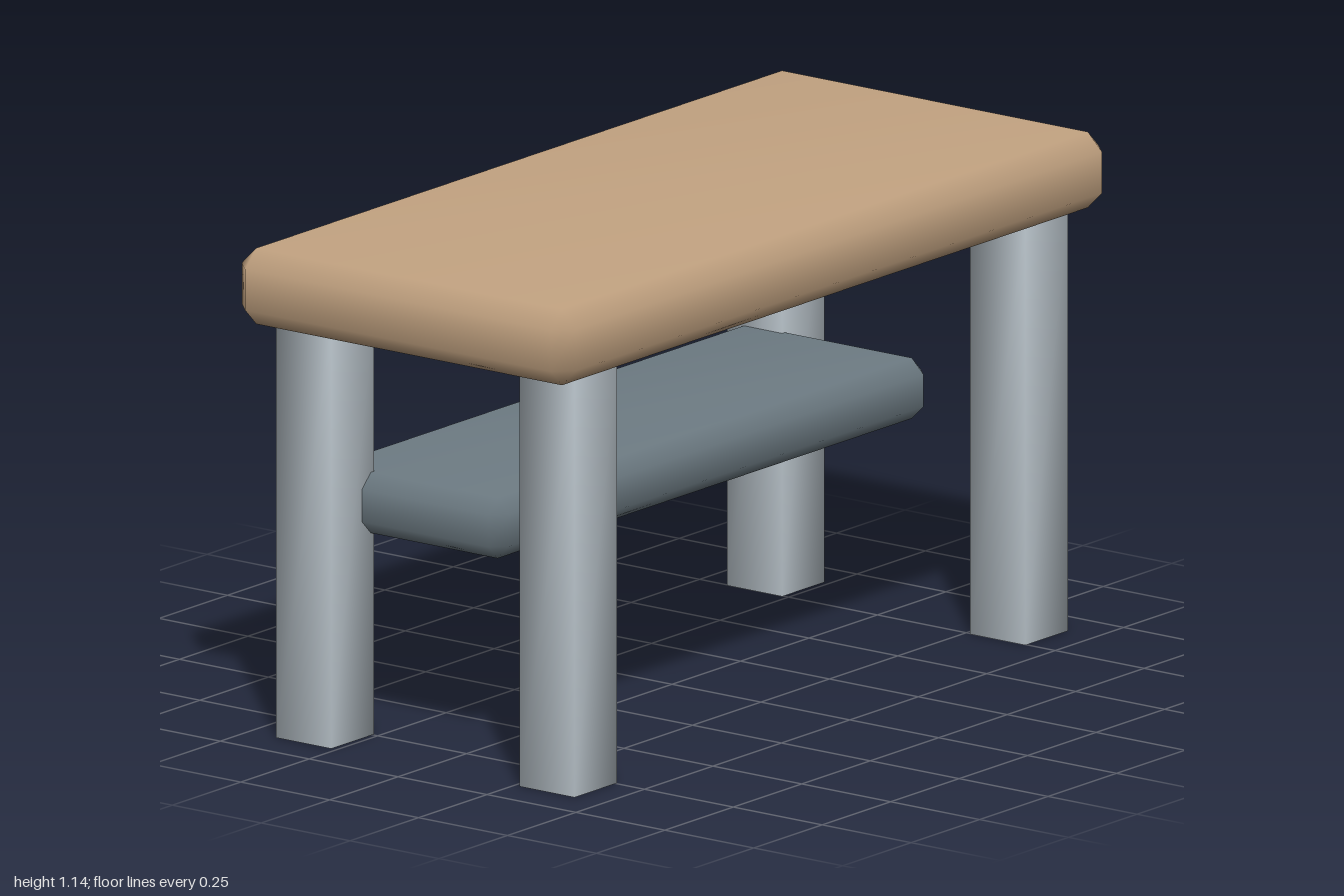
import * as THREE from 'three';
import { mergeVertices } from 'three/addons/utils/BufferGeometryUtils.js';
import { ConvexGeometry } from 'three/addons/geometries/ConvexGeometry.js';

// Weld all corners so the shading flows softly over every edge
function soften(geometry) {
  geometry.deleteAttribute('normal');
  geometry.deleteAttribute('uv');
  const welded = mergeVertices(geometry, 1e-4);
  welded.computeVertexNormals();
  return welded;
}

// Box with every edge cut at 45 degrees
function chamferedBox(width, height, depth, cut) {
  const half = [width / 2, height / 2, depth / 2];
  const points = [];
  for (let outer = 0; outer < 3; outer++) {
    for (const sx of [-1, 1]) for (const sy of [-1, 1]) for (const sz of [-1, 1]) {
      const p = half.map((h, axis) => (axis === outer ? h : h - cut));
      points.push(new THREE.Vector3(sx * p[0], sy * p[1], sz * p[2]));
    }
  }
  return soften(new ConvexGeometry(points));
}

export function createModel() {
  const wood = new THREE.MeshStandardMaterial({ color: 0xc4a482 });
  wood.name = 'tan wood';
  const paleMetal = new THREE.MeshStandardMaterial({ color: 0xb8c2c9 });
  paleMetal.name = 'pale grey metal';
  const slate = new THREE.MeshStandardMaterial({ color: 0x6e7c84 });
  slate.name = 'slate grey';

  const table = new THREE.Group();
  table.name = 'table';

  function add(name, geometry, material, x, y, z) {
    const mesh = new THREE.Mesh(geometry, material);
    mesh.name = name;
    mesh.position.set(x, y, z);
    table.add(mesh);
  }

  // Thick top slab
  add('tableTop', chamferedBox(2, 0.175, 0.94, 0.04), wood, 0, 1.053, 0);

  // Shelf set towards the back, running into the rear legs
  add('shelf', chamferedBox(1.578, 0.14, 0.53, 0.033), slate, 0, 0.537, -0.14);

  // Four square legs
  const leg = soften(new THREE.BoxGeometry(0.155, 0.97, 0.155));
  for (const [side, x] of [['Left', 0.823], ['Right', -0.823]]) {
    for (const [end, z] of [['front', 0.342], ['back', -0.342]]) {
      add(`${end}${side}Leg`, leg, paleMetal, x, 0.485, z);
    }
  }
  return table;
}
